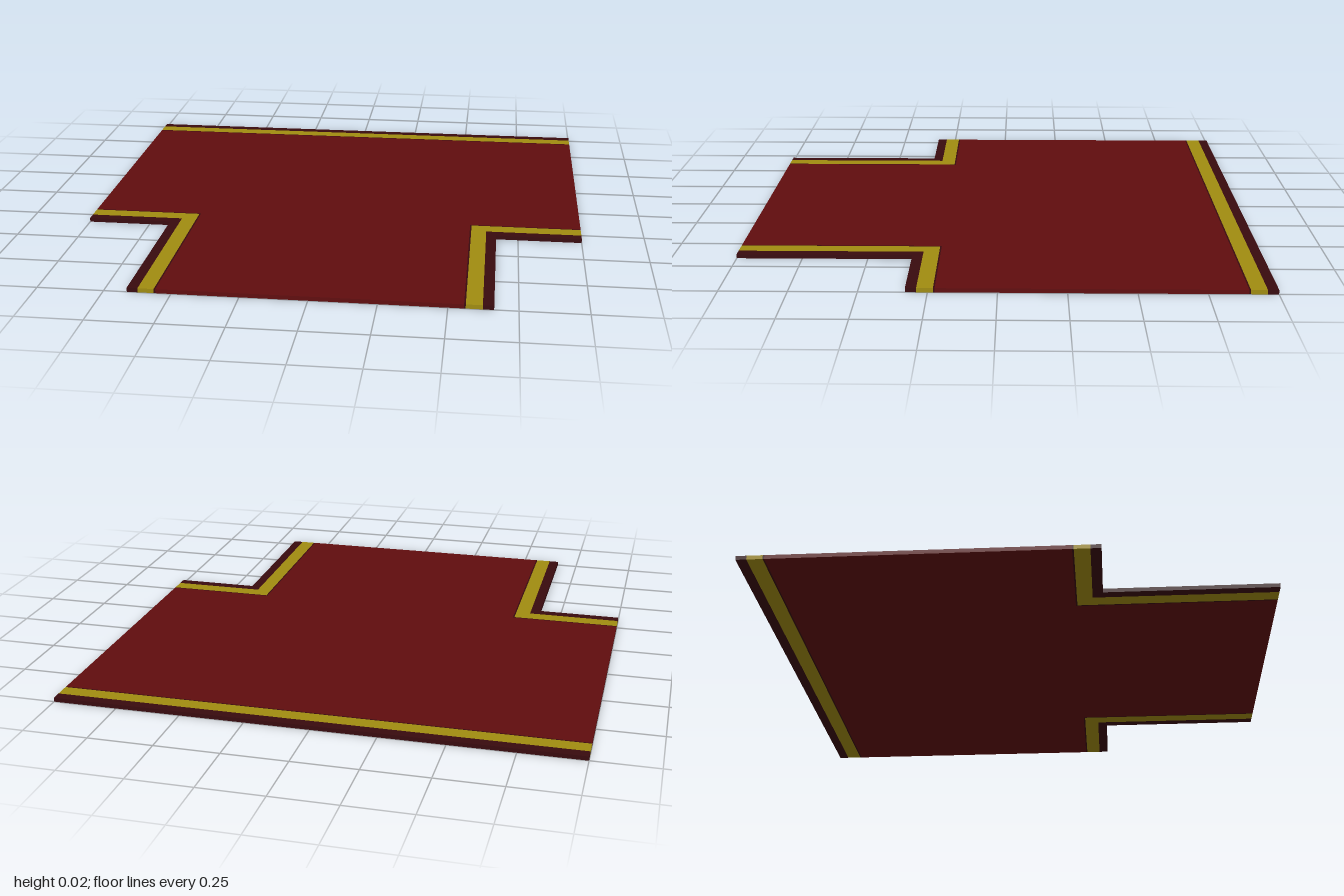
import * as THREE from 'three';

const THICK = 0.016;
const CORNER_X = 0.663, CORNER_Z = 0.33; // inner corner of the T outline

const material = (name, color) => new THREE.MeshStandardMaterial({ name, color });

// Flat slab from a list of [x, z] outline points
function slab(name, points, mat) {
  const shape = new THREE.Shape(points.map(([x, z]) => new THREE.Vector2(x, -z)));
  const geometry = new THREE.ExtrudeGeometry(shape, { depth: THICK, bevelEnabled: false });
  geometry.rotateX(-Math.PI / 2);
  const mesh = new THREE.Mesh(geometry, mat);
  mesh.name = name;
  return mesh;
}

export function createModel() {
  const group = new THREE.Group();
  group.name = 'carpetJunction';

  const red = material('deep red', 0x600d0e);
  const gold = material('old gold', 0xa08c10);
  const dark = material('dark maroon', 0x390a0e);

  // Bands running along the edges, as [name, outer inset, inner inset, material]
  const bands = [
    ['border', 0, 0.04, dark],
    ['stripe', 0.04, 0.1, gold],
    ['seam', 0.1, 0.106, dark],
  ];
  const inset = 0.106;

  for (const [name, a, b, mat] of bands) {
    // Straight band on the back edge
    group.add(slab(name + 'Back', [[-1, -1 + a], [1, -1 + a], [1, -1 + b], [-1, -1 + b]], mat));

    // L-shaped bands around the two inner corners
    for (const [side, s] of [['Left', 1], ['Right', -1]]) {
      const xa = CORNER_X - a, xb = CORNER_X - b, za = CORNER_Z - a, zb = CORNER_Z - b;
      const outline = [[1, za], [xa, za], [xa, 1], [xb, 1], [xb, zb], [1, zb]];
      group.add(slab(name + side, outline.map(([x, z]) => [s * x, z]), mat));
    }
  }

  // T-shaped red field between the bands
  const x = CORNER_X - inset, z = CORNER_Z - inset;
  group.add(slab('carpetField', [
    [-1, -1 + inset], [1, -1 + inset], [1, z], [x, z],
    [x, 1], [-x, 1], [-x, z], [-1, z],
  ], red));

  return group;
}
